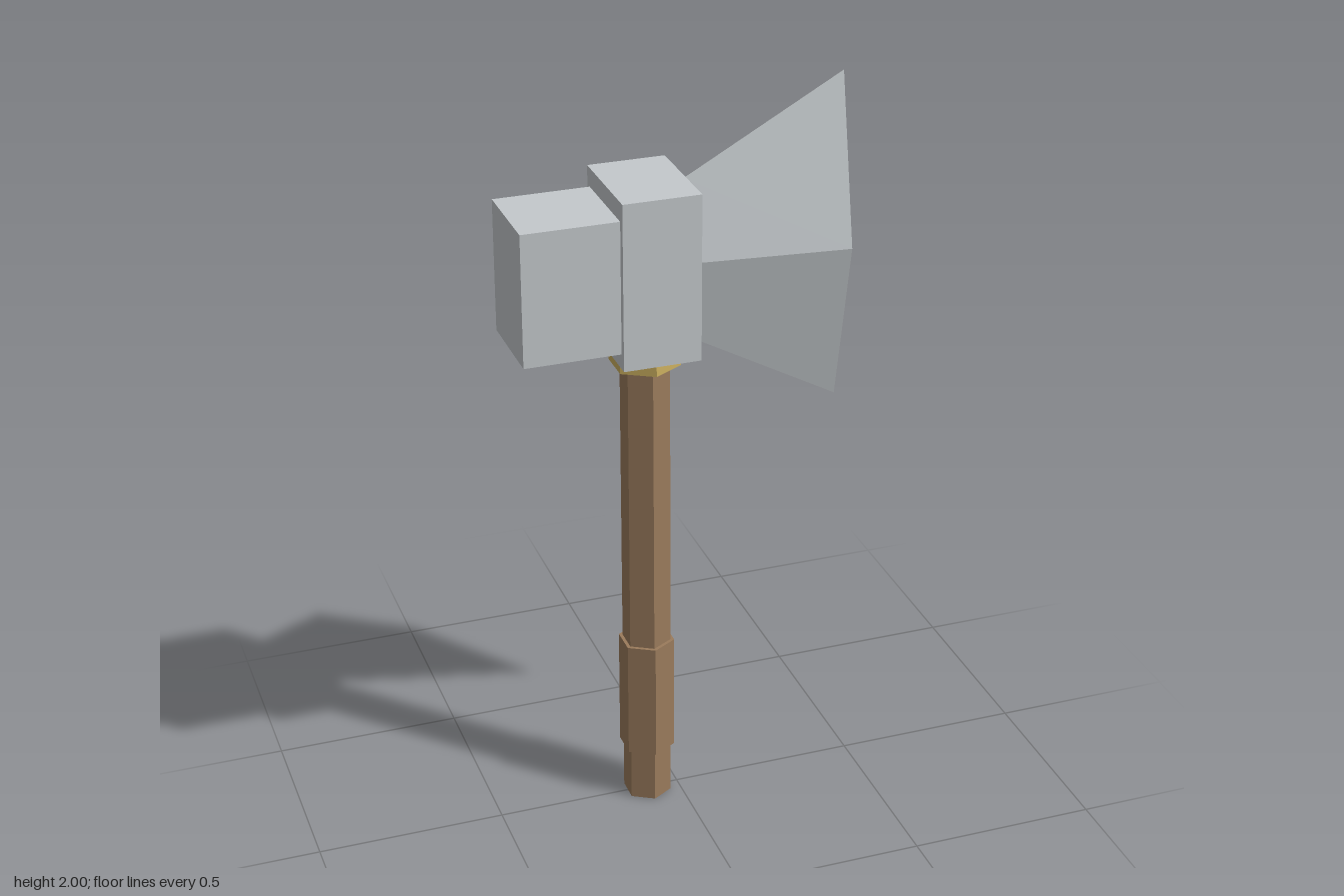
import * as THREE from 'three';

const material = (name, color) => {
  const m = new THREE.MeshStandardMaterial({ color, flatShading: true });
  m.name = name;
  return m;
};

export function createModel() {
  const steel = material('steel', 0xc4c9cc);
  const wood = material('wood', 0x9a7b5c);
  const brass = material('brass', 0xcdb160);

  const axe = new THREE.Group();
  axe.name = 'axe';
  const shaftX = -0.085;
  const headY = 1.56;

  const add = (name, geometry, mat, x, y) => {
    const mesh = new THREE.Mesh(geometry, mat);
    mesh.name = name;
    mesh.position.set(x, y, 0);
    axe.add(mesh);
  };

  // Hexagonal parts along the shaft, from y0 to y1
  const hexPart = (name, radius, y0, y1, mat) =>
    add(name, new THREE.CylinderGeometry(radius, radius, y1 - y0, 6), mat, shaftX, (y0 + y1) / 2);

  hexPart('handle', 0.065, 0, 1.35, wood);
  hexPart('grip', 0.075, 0.15, 0.48, wood);
  hexPart('collar', 0.093, 1.29, 1.34, brass);

  // Head: socket block around the shaft and hammer block behind it
  add('socket', new THREE.BoxGeometry(0.202, 0.44, 0.276), steel, -0.084, headY);
  add('hammer', new THREE.BoxGeometry(0.25, 0.35, 0.24), steel, -0.31, headY - 0.005);

  // Blade: four-sided taper laid on its side and flattened into a diamond section
  const blade = new THREE.CylinderGeometry(0.44, 0.21, 0.417, 4);
  blade.rotateZ(-Math.PI / 2);
  blade.scale(1, 1, 0.2);
  add('blade', blade, steel, 0.2255, headY);

  return axe;
}
